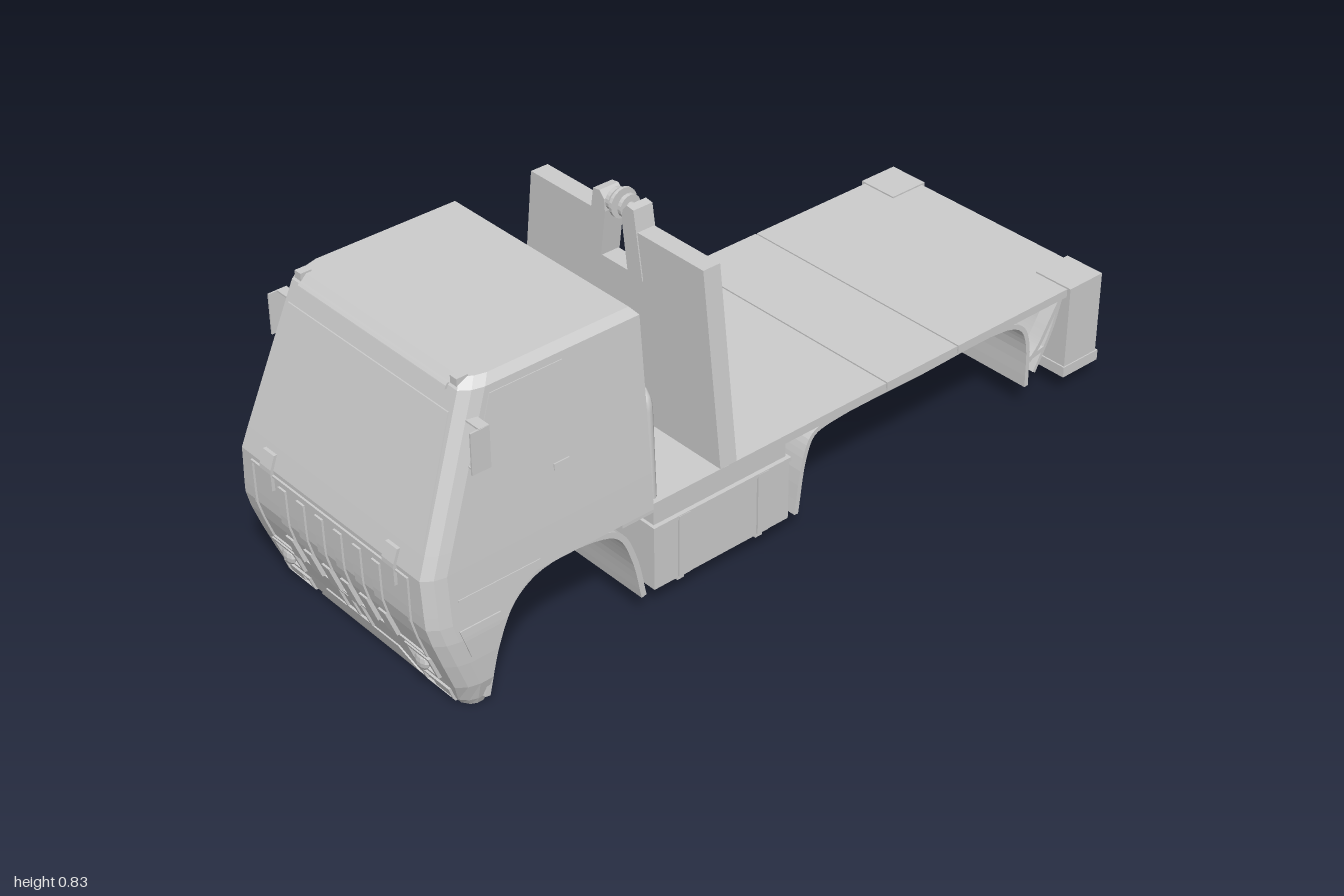
import * as THREE from 'three';

const mat = new THREE.MeshStandardMaterial({ color: 0xcccccc, flatShading: true });
const smooth = new THREE.MeshStandardMaterial({ color: 0xcccccc, side: THREE.DoubleSide });

// cab levels: y, back z, front z, half width
const CAB = [
  [0.0, 0.865, 0.905, 0.32], [0.02, 0.862, 0.918, 0.329], [0.07, 0.855, 0.936, 0.344],
  [0.14, 0.84, 0.963, 0.347], [0.205, 0.815, 0.986, 0.347], [0.25, 0.78, 0.998, 0.344],
  [0.28, 0.73, 0.999, 0.342], [0.28, 0.415, 0.999, 0.342], [0.37, 0.415, 1.0, 0.336],
  [0.42, 0.415, 0.982, 0.332], [0.745, 0.415, 0.86, 0.303], [0.763, 0.43, 0.842, 0.287],
];
// interpolated column of the cab table at height y
function cabAt(y, col) {
  let i = 0;
  while (i < CAB.length - 2 && y > CAB[i + 1][0]) i++;
  const a = CAB[i], b = CAB[i + 1];
  return THREE.MathUtils.lerp(a[col], b[col], (y - a[0]) / (b[0] - a[0] || 1));
}

function add(parent, name, geo, m = mat) {
  const mesh = new THREE.Mesh(geo, m);
  mesh.name = name;
  parent.add(mesh);
  return mesh;
}
// box given by its limits
function box(parent, name, x0, x1, y0, y1, z0, z1) {
  const g = new THREE.BoxGeometry(x1 - x0, y1 - y0, z1 - z0);
  g.translate((x0 + x1) / 2, (y0 + y1) / 2, (z0 + z1) / 2);
  return add(parent, name, g);
}
// a part built on the right and repeated on the left
function both(parent, build) {
  for (const s of [1, -1]) {
    const g = new THREE.Group();
    g.name = s > 0 ? 'rightParts' : 'leftParts';
    g.scale.x = s;
    build(g);
    parent.add(g);
  }
}
// thin four-cornered panel that follows the cab's front or right side
function panel(parent, name, face, y0, y1, bottom, top, depth) {
  const g = new THREE.BoxGeometry(1, 1, 1, 1, 8, 1), p = g.attributes.position;
  for (let i = 0; i < p.count; i++) {
    const v = p.getY(i) + 0.5, y = y0 + v * (y1 - y0);
    const a = THREE.MathUtils.lerp(bottom[0], top[0], v), b = THREE.MathUtils.lerp(bottom[1], top[1], v);
    const u = a + (p.getX(i) + 0.5) * (b - a), t = p.getZ(i) > 0 ? depth : -0.01;
    if (face === 'front') p.setXYZ(i, u, y, cabAt(y, 2) + t);
    else p.setXYZ(i, -(cabAt(y, 3) + t), y, u);
  }
  g.computeVertexNormals();
  return add(parent, name, g);
}
function frontFrame(parent, name, x0, x1, y0, y1, t, depth) {
  panel(parent, name, 'front', y0, y0 + t, [x0, x1], [x0, x1], depth);
  panel(parent, name, 'front', y1 - t, y1, [x0, x1], [x0, x1], depth);
  for (const x of [x0, x1 - t]) panel(parent, name, 'front', y0, y1, [x, x + t], [x, x + t], depth);
}
// curved sheet: a path in (z, y), given a thickness, extruded across x
function sheet(parent, name, path, t, x0, x1) {
  const c = new THREE.CatmullRomCurve3(path.map(([z, y]) => new THREE.Vector3(z, y, 0)), false, 'centripetal');
  const a = [], b = [];
  for (let i = 0; i <= 32; i++) {
    const p = c.getPoint(i / 32), d = c.getTangent(i / 32);
    a.push(new THREE.Vector2(p.x - d.y * t / 2, p.y + d.x * t / 2));
    b.unshift(new THREE.Vector2(p.x + d.y * t / 2, p.y - d.x * t / 2));
  }
  const g = new THREE.ExtrudeGeometry(new THREE.Shape([...a, ...b]), { depth: x1 - x0, bevelEnabled: false });
  g.rotateY(-Math.PI / 2).translate(x1, 0, 0);
  return add(parent, name, g);
}
// flat plate outlined in (x, y)
function plate(parent, name, pts, z0, z1) {
  const shape = new THREE.Shape(pts.map(p => new THREE.Vector2(...p)));
  const g = new THREE.ExtrudeGeometry(shape, { depth: z1 - z0, bevelEnabled: false });
  return add(parent, name, g.translate(0, 0, z0));
}
// half-round underbody hanging down, running along z
function hull(parent, name, rx, ry, y, z0, z1) {
  const g = new THREE.CylinderGeometry(1, 1, z1 - z0, 32, 1, false, Math.PI / 2, Math.PI);
  g.rotateX(-Math.PI / 2).scale(rx, ry, 1).translate(0, y, (z0 + z1) / 2);
  return add(parent, name, g, smooth);
}

// cab skin lofted through the levels, with softened front corners
function cabShell() {
  const pos = [], idx = [], n = 8;
  for (const [y, zb, zf, w] of CAB) {
    const c = Math.min(0.05, (zf - zb) * 0.6);
    for (const [x, z] of [[w, zb], [-w, zb], [-w, zf - c], [-w + 0.007, zf - c * 0.45], [-w + 0.024, zf],
      [w - 0.024, zf], [w - 0.007, zf - c * 0.45], [w, zf - c]]) pos.push(x, y, z);
  }
  for (let i = 0; i < CAB.length - 1; i++) for (let j = 0; j < n; j++) {
    const a = i * n + j, b = i * n + (j + 1) % n;
    idx.push(a, b, b + n, a, b + n, a + n);
  }
  const top = (CAB.length - 1) * n;
  for (let j = 1; j < n - 1; j++) idx.push(0, j + 1, j, top, top + j, top + j + 1);
  const g = new THREE.BufferGeometry();
  g.setAttribute('position', new THREE.Float32BufferAttribute(pos, 3));
  g.setIndex(idx);
  const flat = g.toNonIndexed();
  flat.computeVertexNormals();
  return flat;
}

export function createModel() {
  const root = new THREE.Group();
  root.name = 'truckBody';

  // cab
  const cab = new THREE.Group();
  cab.name = 'cab';
  root.add(cab);
  add(cab, 'cabShell', cabShell());
  panel(cab, 'windscreen', 'front', 0.435, 0.7, [-0.302, 0.302], [-0.272, 0.272], 0.003);
  panel(cab, 'sunVisor', 'front', 0.737, 0.75, [-0.25, 0.25], [-0.25, 0.25], 0.006);
  frontFrame(cab, 'grilleFrame', -0.275, 0.275, 0.14, 0.36, 0.005, 0.005);
  for (let i = 0; i < 6; i++) {
    const x = (i - 2.5) * 0.066;
    panel(cab, 'grilleRib', 'front', 0.15, 0.34, [x - 0.014, x + 0.014], [x - 0.013, x + 0.013], 0.005);
    panel(cab, 'grilleRibFoot', 'front', 0.145, 0.21, [x - 0.018, x + 0.018], [x - 0.013, x + 0.013], 0.01);
  }
  frontFrame(cab, 'towHatchFrame', -0.045, 0.045, 0.07, 0.137, 0.006, 0.006);
  panel(cab, 'towHatchDivider', 'front', 0.075, 0.132, [-0.004, 0.004], [-0.004, 0.004], 0.005);
  panel(cab, 'bumperStep', 'front', 0.004, 0.066, [-0.19, 0.19], [-0.13, 0.13], 0.004);
  both(cab, g => {
    panel(g, 'frontHandle', 'front', 0.32, 0.405, [-0.235, -0.195], [-0.235, -0.195], 0.008);
    frontFrame(g, 'headlightFrame', -0.28, -0.197, 0.075, 0.136, 0.008, 0.008);
    const lamp = new THREE.SphereGeometry(0.023, 10, 6);
    lamp.scale(1, 1, 0.5).translate(-0.238, 0.105, cabAt(0.105, 2) + 0.005);
    add(g, 'headlight', lamp);
    frontFrame(g, 'fogLightFrame', -0.296, -0.2, 0.012, 0.05, 0.006, 0.006);
    panel(g, 'fogLight', 'front', 0.02, 0.042, [-0.285, -0.235], [-0.285, -0.235], 0.004);
    box(g, 'roofMarker', -0.273, -0.252, 0.745, 0.767, 0.828, 0.856);
    // doors and side windows
    panel(g, 'doorWindow', 'side', 0.57, 0.728, [0.62, 0.86], [0.62, 0.803], 0.002);
    panel(g, 'doorHandle', 'side', 0.49, 0.505, [0.625, 0.665], [0.625, 0.665], 0.003);
    panel(g, 'doorSill', 'side', 0.3, 0.304, [0.72, 0.93], [0.72, 0.93], 0.002);
    panel(g, 'cornerStep', 'side', 0.155, 0.23, [0.845, 0.91], [0.83, 0.935], 0.003);
    // open mirror bracket
    box(g, 'mirrorPlate', -0.345, -0.341, 0.588, 0.687, 0.835, 0.882);
    box(g, 'mirrorArm', -0.344, -0.3, 0.684, 0.688, 0.835, 0.86);
    box(g, 'mirrorArm', -0.344, -0.308, 0.587, 0.591, 0.84, 0.87);
    box(g, 'rearWindow', -0.25, -0.02, 0.53, 0.7, 0.413, 0.42);
  });

  // front wheel arch and the underbody between the wheels
  sheet(root, 'frontWheelArch', [[0.866, 0.02], [0.835, 0.14], [0.79, 0.23], [0.72, 0.275], [0.58, 0.278],
    [0.505, 0.25], [0.465, 0.17], [0.44, 0.06]], 0.014, -0.337, 0.337);
  hull(root, 'frontUnderbody', 0.11, 0.135, 0.278, 0.475, 0.83);

  // load deck in three sections with narrow seams
  for (const [a, b] of [[-0.277, 0.5], [-0.507, -0.281], [-0.985, -0.511]]) box(root, 'deckSection', -0.34, 0.34, 0.27, 0.292, a, b);
  box(root, 'deckCore', -0.336, 0.336, 0.272, 0.288, -0.98, 0.45);

  // full-width storage box below the deck
  const store = new THREE.Group();
  store.name = 'storageBox';
  root.add(store);
  box(store, 'boxBody', -0.334, 0.334, 0.058, 0.215, 0.015, 0.408);
  box(store, 'boxRim', -0.338, 0.338, 0.214, 0.224, 0.012, 0.411);
  box(store, 'boxTop', -0.327, 0.327, 0.223, 0.272, 0.02, 0.403);
  for (const z of [0.325, 0.095]) {
    box(store, 'boxRunner', -0.325, 0.325, 0.042, 0.062, z - 0.01, z + 0.01);
    box(store, 'boxStrap', -0.339, 0.339, 0.062, 0.222, z - 0.016, z + 0.016);
  }

  // rear wheel arch and hull
  sheet(root, 'rearWheelArch', [[-0.008, 0.058], [-0.03, 0.2], [-0.055, 0.252], [-0.11, 0.267], [-0.4, 0.268],
    [-0.68, 0.266], [-0.735, 0.24], [-0.757, 0.19], [-0.763, 0.068]], 0.012, -0.337, 0.337);
  hull(root, 'rearUnderbody', 0.13, 0.205, 0.265, -0.755, -0.015);

  // rear guard and struts
  sheet(root, 'rearGuard', [[-0.868, 0.27], [-0.845, 0.2], [-0.815, 0.14], [-0.79, 0.095]], 0.01, -0.335, 0.335);
  both(root, g => {
    sheet(g, 'guardStrut', [[-0.77, 0.135], [-0.8, 0.165], [-0.835, 0.22], [-0.865, 0.268]], 0.012, -0.335, -0.3);
    sheet(g, 'guardLink', [[-0.765, 0.14], [-0.79, 0.145], [-0.82, 0.15]], 0.012, -0.335, -0.3);
    // rear corner posts
    box(g, 'cornerPost', -0.35, -0.24, 0.07, 0.296, -0.994, -0.882);
    box(g, 'postFoot', -0.353, -0.235, 0.05, 0.078, -1, -0.878);
  });
  box(root, 'rearPanel', -0.25, 0.25, 0.13, 0.275, -0.965, -0.95);
  box(root, 'rearPanelLip', -0.25, 0.25, 0.13, 0.142, -0.965, -0.9);

  // headboard with notch, and the roller bracket in it
  plate(root, 'headboard', [[-0.34, 0.29], [0.34, 0.29], [0.283, 0.762], [0.075, 0.762], [0.085, 0.655],
    [-0.085, 0.655], [-0.075, 0.762], [-0.283, 0.762]], 0.177, 0.224);
  both(root, g => plate(g, 'rollerCheek', [[-0.092, 0.65], [-0.045, 0.65], [-0.028, 0.77], [-0.03, 0.8],
    [-0.045, 0.816], [-0.066, 0.813]], 0.174, 0.227));
  const disc = (name, x, r, len) => add(root, name,
    new THREE.CylinderGeometry(r, r, len, 20).rotateZ(Math.PI / 2).translate(x, 0.795, 0.2));
  disc('roller', 0, 0.036, 0.008);
  for (const s of [-1, 1]) disc('roller', s * 0.02, 0.028, 0.01);
  disc('rollerPin', 0, 0.012, 0.12);

  // hoop behind the cab
  const hoop = new THREE.CurvePath(), v = (x, y) => new THREE.Vector3(x, y, 0.4);
  hoop.add(new THREE.LineCurve3(v(-0.315, 0.285), v(-0.305, 0.51)));
  hoop.add(new THREE.QuadraticBezierCurve3(v(-0.305, 0.51), v(-0.303, 0.553), v(-0.26, 0.553)));
  hoop.add(new THREE.LineCurve3(v(-0.26, 0.553), v(0.26, 0.553)));
  hoop.add(new THREE.QuadraticBezierCurve3(v(0.26, 0.553), v(0.303, 0.553), v(0.305, 0.51)));
  hoop.add(new THREE.LineCurve3(v(0.305, 0.51), v(0.315, 0.285)));
  add(root, 'cabHoop', new THREE.TubeGeometry(hoop, 80, 0.013, 10), smooth);

  return root;
}
